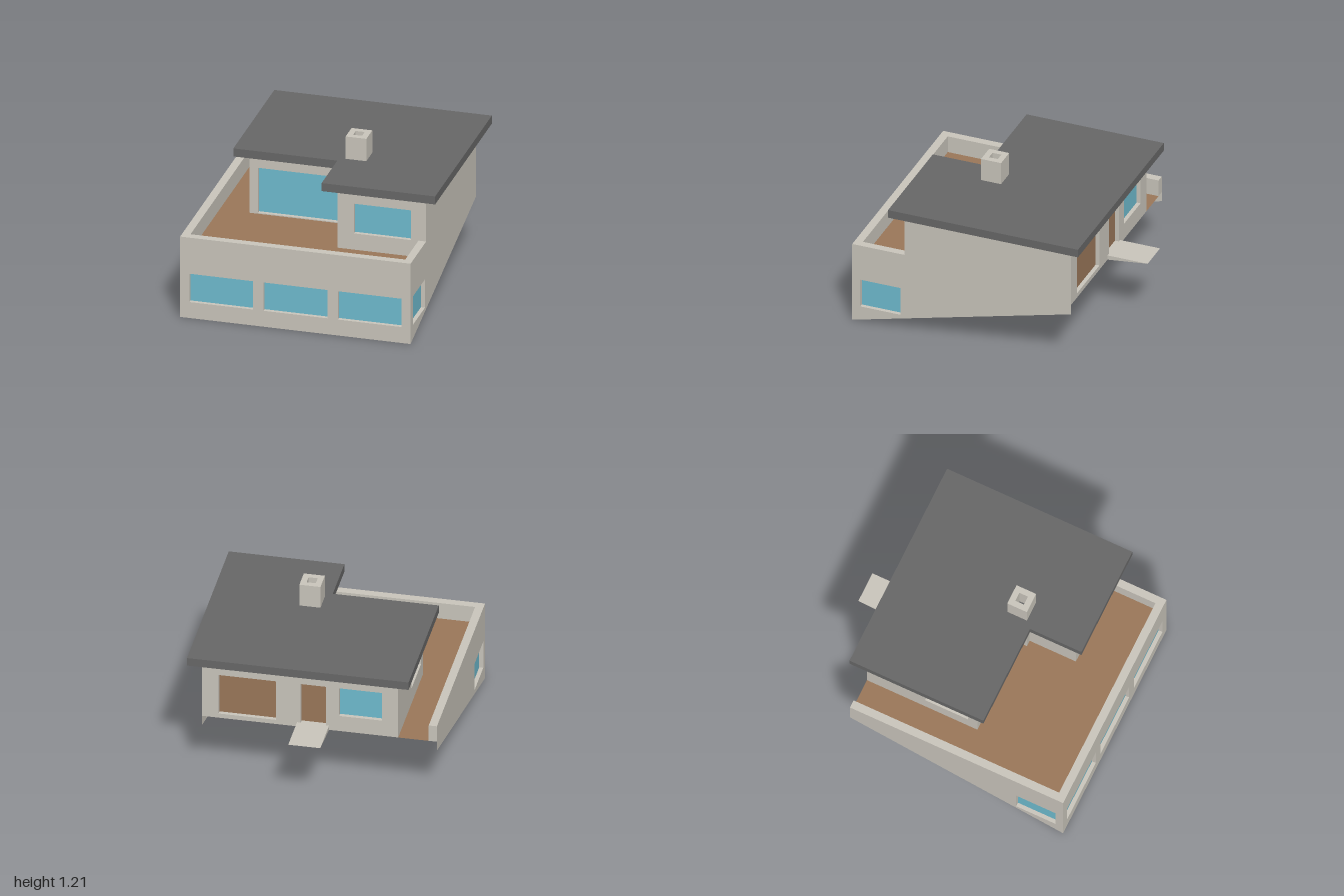
import * as THREE from 'three';

const mat = (name, color) =>
  Object.assign(new THREE.MeshStandardMaterial({ color, side: THREE.DoubleSide }), { name });
const FLOOR = 0.5, EAVES = 0.97, PARAPET = 0.63;
const RECESS = 0.03; // depth of window and door reveals

const rect = (x0, y0, x1, y1) => [[x0, y0], [x1, y0], [x1, y1], [x0, y1]];
const path = (pts) => pts.map(([x, y]) => new THREE.Vector2(x, y));

function outline(pts, holes = []) {
  const shape = new THREE.Shape(path(pts));
  holes.forEach((h) => shape.holes.push(new THREE.Path(path(h))));
  return shape;
}
const extrude = (shape, depth) => new THREE.ExtrudeGeometry(shape, { depth, bevelEnabled: false });

export function createModel() {
  const plaster = mat('plaster', 0xcbc7bd);
  const roofMat = mat('roofGrey', 0x686868);
  const glass = mat('glass', 0x70bdd1);
  const timber = mat('timber', 0x9b785a);
  const model = new THREE.Group();
  model.name = 'house';

  const add = (parent, name, geo, material) => {
    const m = new THREE.Mesh(geo, material);
    m.name = name;
    parent.add(m);
    return m;
  };

  // A thin wall with openings [u0, y0, u1, y1, material]; each gets a reveal and a
  // pane set back along local z in the direction of inward
  function makeWall(name, pts, inward, openings) {
    const g = new THREE.Group();
    g.name = name;
    add(g, name + 'Panel', new THREE.ShapeGeometry(outline(pts, openings.map((o) => rect(...o)))), plaster);
    for (const [u0, y0, u1, y1, m = glass] of openings) {
      const w = u1 - u0, h = y1 - y0, cx = (u0 + u1) / 2, cy = (y0 + y1) / 2;
      // Only the four sides of the box are kept
      const sides = new THREE.BoxGeometry(w, h, RECESS);
      sides.setIndex(Array.from(sides.index.array.slice(0, 24)));
      add(g, 'reveal', sides, plaster).position.set(cx, cy, inward * RECESS / 2);
      add(g, m === glass ? 'window' : 'door', new THREE.PlaneGeometry(w, h), m)
        .position.set(cx, cy, inward * RECESS);
    }
    model.add(g);
    return g;
  }
  // Wall running along x at a given z
  const wallX = (name, z, pts, inward = 1, openings = []) => {
    makeWall(name, pts, inward, openings).position.z = z;
  };
  // Wall running along z at a given x; local +z points to -x
  const wallZ = (name, x, pts, inward = 1, openings = []) => {
    const g = makeWall(name, pts, inward, openings);
    g.rotation.y = -Math.PI / 2;
    g.position.x = x;
  };
  // Horizontal sheet or slab from an x, z geometry
  const level = (name, geo, top, material) => {
    const m = add(model, name, geo, material);
    m.rotation.x = Math.PI / 2;
    m.position.y = top;
  };

  // Lower storey: side walls follow the slope of the ground
  const sideWindow = [[0.627, 0.125, 0.938, 0.347]];
  wallZ('leftWall', 0.81,
    [[1, 0], [1, PARAPET], [0.597, PARAPET], [0.597, EAVES], [-0.69, EAVES], [-0.69, 0.425]], 1, sideWindow);
  wallZ('rightWall', -0.905, [[1, 0], [1, PARAPET], [-0.69, PARAPET], [-0.69, 0.425]], -1, sideWindow);
  wallX('frontWall', 1, rect(-0.905, 0, 0.81, PARAPET), -1,
    [-0.837, -0.284, 0.268].map((x) => [x, 0.125, x + 0.475, 0.347]));

  // Parapet: coping, inner faces and the end at the back
  level('parapetCoping', new THREE.ShapeGeometry(outline([[-0.905, -0.69], [-0.845, -0.69], [-0.845, 0.94],
    [0.753, 0.94], [0.753, 0.597], [0.81, 0.597], [0.81, 1], [-0.905, 1]])), PARAPET, plaster);
  wallX('parapetInnerFront', 0.94, rect(-0.845, FLOOR, 0.753, PARAPET));
  wallZ('parapetInnerRight', -0.845, rect(-0.69, FLOOR, 0.94, PARAPET));
  wallZ('parapetInnerLeft', 0.753, rect(0.597, FLOOR, 0.94, PARAPET));
  wallX('parapetEnd', -0.69, rect(-0.905, FLOOR, -0.845, PARAPET));

  // Upper storey, with the chimney breast stepping out at the inner corner
  wallX('upperFrontWall', 0.185, rect(-0.622, FLOOR, 0.105, EAVES), -1, [[-0.56, FLOOR + 0.007, 0.035, 0.86]]);
  wallZ('chimneyBreastSide', 0.105, rect(0.185, FLOOR, 0.23, EAVES));
  wallX('chimneyBreastFront', 0.23, rect(0.105, FLOOR, 0.15, EAVES));
  wallZ('returnWall', 0.15, rect(0.23, FLOOR, 0.597, EAVES));
  wallX('bayFrontWall', 0.597, rect(0.15, FLOOR, 0.81, EAVES), -1, [[0.272, 0.627, 0.698, 0.86]]);
  wallZ('upperRightWall', -0.622, rect(-0.69, FLOOR, 0.185, EAVES), -1, [[-0.23, 0.627, 0.11, 0.86]]);
  wallX('backWall', -0.69, rect(-0.622, FLOOR, 0.81, EAVES), 1, [
    [0.27, 0.535, 0.69, 0.86, timber],
    [-0.095, 0.535, 0.09, 0.86, timber],
    [-0.505, 0.627, -0.19, 0.86],
  ]);

  // Terrace deck around the upper storey
  level('terraceDeck', new THREE.ShapeGeometry(outline([[-0.905, -0.69], [-0.622, -0.69], [-0.622, 0.185],
    [0.105, 0.185], [0.105, 0.23], [0.15, 0.23], [0.15, 0.597], [0.81, 0.597], [0.81, 1], [-0.905, 1]])),
  FLOOR, timber);

  // Flat roof with a notch over the terrace
  level('roof', extrude(outline([[-0.717, -0.783], [0.902, -0.783], [0.902, 0.685], [0.057, 0.685],
    [0.057, 0.278], [-0.717, 0.278]]), 0.063), 1.033, roofMat);

  // Hollow chimney stack
  level('chimney', extrude(outline(rect(0.105, 0.075, 0.259, 0.23),
    [rect(0.148, 0.118, 0.215, 0.186)]), 0.175), 1.208, plaster);

  // Tapered entrance step at the back door
  const step = add(model, 'entranceStep',
    extrude(outline([[-0.69, FLOOR], [-0.69, 0.535], [-1, 0.535]]), 0.234), plaster);
  step.rotation.y = -Math.PI / 2;
  step.position.x = 0.117;

  return model;
}
